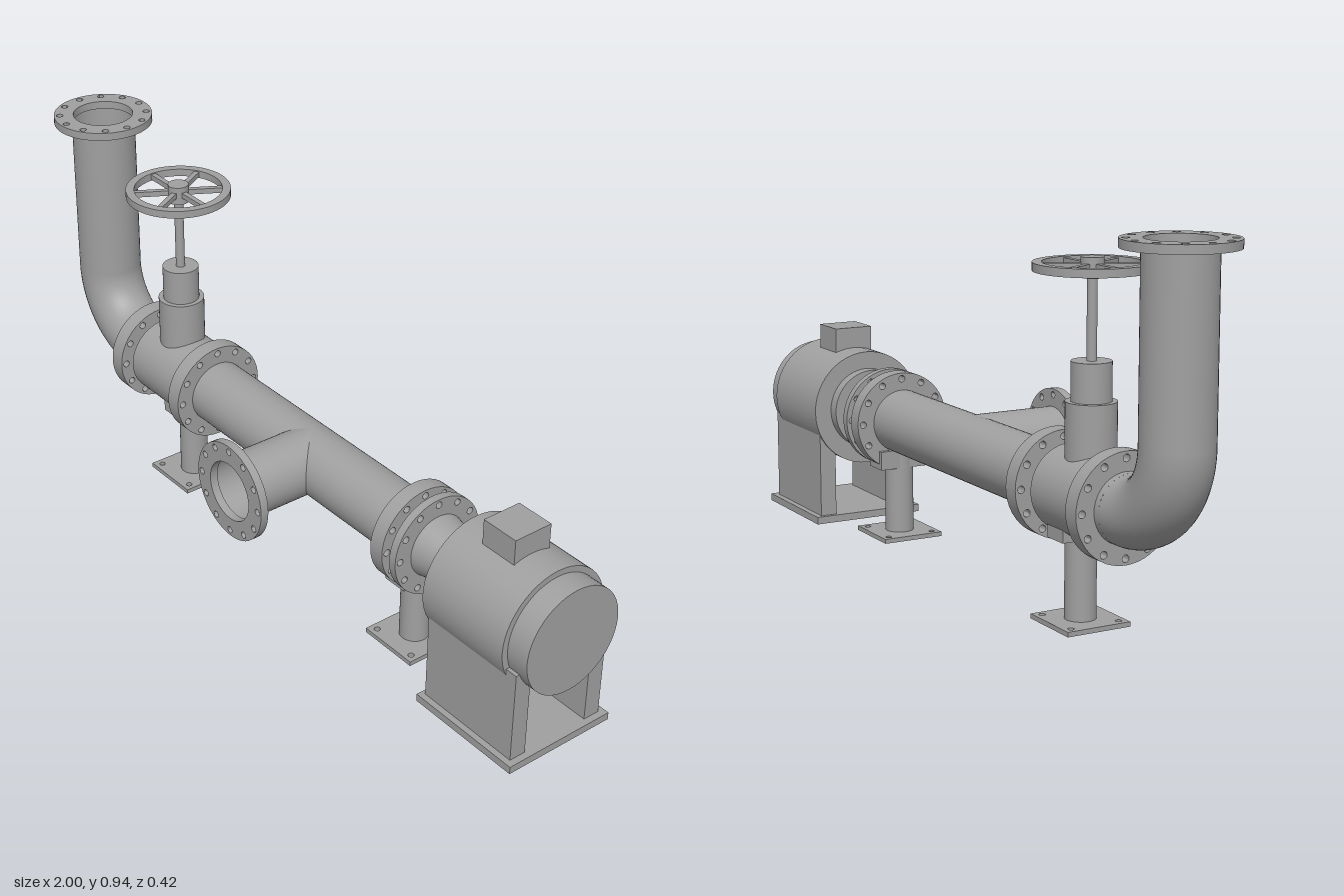
import * as THREE from 'three';
import { toCreasedNormals } from 'three/addons/utils/BufferGeometryUtils.js';

const AXIS_Y = 0.317, AXIS_Z = -0.05, PIPE_R = 0.085, BORE_R = 0.08;

export function createModel() {
  const model = new THREE.Group();
  model.name = 'pumpAndPipework';
  const steel = new THREE.MeshStandardMaterial({ color: 0xa0a0a0, side: THREE.DoubleSide });
  steel.name = 'grey steel';

  function add(name, geometry, x = 0, y = 0, z = AXIS_Z, parent = model) {
    const mesh = new THREE.Mesh(geometry, steel);
    mesh.name = name;
    mesh.position.set(x, y, z);
    parent.add(mesh);
    return mesh;
  }
  const box = (name, w, h, d, x, y, z, parent) => add(name, new THREE.BoxGeometry(w, h, d), x, y, z, parent);

  // Horizontal round section between two x positions
  function along(name, x0, x1, r0, r1 = r0, open = false) {
    const g = new THREE.CylinderGeometry(r1, r0, x1 - x0, 48, 1, open).rotateZ(-Math.PI / 2);
    return add(name, g, (x0 + x1) / 2, AXIS_Y);
  }
  // Upright round section between two heights
  const upright = (name, x, y0, y1, r, open = false, parent = model) =>
    add(name, new THREE.CylinderGeometry(r, r, y1 - y0, 40, 1, open), x, (y0 + y1) / 2, AXIS_Z, parent);

  const circlePath = (x, y, r) => new THREE.Path().absarc(x, y, r, 0, Math.PI * 2, true);
  function extrude(shape, depth, segments) {
    const g = new THREE.ExtrudeGeometry(shape, { depth, bevelEnabled: false, curveSegments: segments });
    return toCreasedNormals(g, Math.PI / 5);
  }

  // Ring with a bore and twelve bolt holes, extruded along +z
  function flangeGeometry(depth) {
    const shape = new THREE.Shape().absarc(0, 0, 0.132, 0, Math.PI * 2, false);
    shape.holes.push(circlePath(0, 0, BORE_R));
    for (let i = 0; i < 12; i++) {
      const a = i * Math.PI / 6;
      shape.holes.push(circlePath(0.116 * Math.cos(a), 0.116 * Math.sin(a), 0.009));
    }
    return extrude(shape, depth, 24);
  }

  // Elbow and riser
  const riserX = -0.867, bend = 0.18, bendX = riserX + bend, bendY = AXIS_Y + bend;
  upright('riserPipe', riserX, bendY, 0.935, PIPE_R, true);
  add('elbow', new THREE.TorusGeometry(bend, PIPE_R, 40, 24, Math.PI / 2).rotateZ(Math.PI), bendX, bendY);
  along('elbowStub', bendX, -0.645, PIPE_R, PIPE_R, true);
  add('riserFlange', flangeGeometry(0.021).rotateX(-Math.PI / 2), riserX, 0.924);

  // Flanges along the main run
  for (const [name, x0, x1] of [
    ['valveInletFlange', -0.669, -0.624], ['valveOutletFlange', -0.4, -0.355],
    ['mainPipeFlange', 0.445, 0.488], ['reducerFlange', 0.515, 0.537],
  ]) add(name, flangeGeometry(x1 - x0).rotateY(Math.PI / 2), x0, AXIS_Y);

  // Main pipe and side branch
  along('mainPipe', -0.38, 0.525, PIPE_R, PIPE_R, true);
  add('branchPipe', new THREE.CylinderGeometry(PIPE_R, PIPE_R, 0.25, 48, 1, true).rotateX(Math.PI / 2), 0.05, AXIS_Y, 0.075);
  add('branchFlange', flangeGeometry(0.022), 0.05, AXIS_Y, 0.188);

  // Gate valve
  const valveX = -0.518;
  along('valveNecks', -0.65, -0.38, PIPE_R, PIPE_R, true);
  along('valveBody', -0.61, -0.424, 0.105);
  upright('valveBonnet', valveX, 0.36, 0.537, 0.061);
  upright('valveGland', valveX, 0.537, 0.63, 0.048);
  upright('valveStem', valveX, 0.62, 0.83, 0.012);

  // Handwheel: flat rim, six spokes and hub
  const wheel = new THREE.Group();
  wheel.name = 'handwheel';
  model.add(wheel);
  const rim = new THREE.Shape().absarc(0, 0, 0.137, 0, Math.PI * 2, false);
  rim.holes.push(circlePath(0, 0, 0.115));
  add('wheelRim', extrude(rim, 0.02, 32).rotateX(-Math.PI / 2), valveX, 0.836, AXIS_Z, wheel);
  upright('wheelHub', valveX, 0.82, 0.868, 0.027, false, wheel);
  for (let i = 0; i < 6; i++) {
    const spoke = new THREE.BoxGeometry(0.1, 0.014, 0.014).translate(0.07, 0, 0).rotateY(i * Math.PI / 3);
    add('wheelSpoke', spoke, valveX, 0.846, AXIS_Z, wheel);
  }

  // Pipe supports: drilled base plate, post and saddle
  function support(x, saddleY0) {
    const group = new THREE.Group();
    group.name = 'pipeSupport';
    model.add(group);
    const h = 0.085;
    const plate = new THREE.Shape().moveTo(-h, -h).lineTo(h, -h).lineTo(h, h).lineTo(-h, h).closePath();
    for (const sx of [-1, 1]) for (const sy of [-1, 1]) plate.holes.push(circlePath(sx * 0.065, sy * 0.065, 0.008));
    add('supportPlate', extrude(plate, 0.012, 8).rotateX(-Math.PI / 2), x, 0, AXIS_Z, group);
    upright('supportPost', x, 0.01, 0.235, 0.038, false, group);
    box('supportSaddle', 0.07, 0.24 - saddleY0, 0.14, x, (0.24 + saddleY0) / 2, AXIS_Z, group);
  }
  support(-0.477, 0.208);
  support(0.467, 0.19);

  // Reducer and motor
  along('reducer', 0.53, 0.64, PIPE_R, 0.062);
  along('motorFrontCollar', 0.632, 0.67, 0.11);
  along('motorBody', 0.665, 0.935, 0.157);
  along('motorRearCover', 0.93, 0.998, 0.141);
  box('terminalBox', 0.105, 0.1, 0.109, 0.798, 0.481, AXIS_Z);

  // Motor stand
  box('motorBasePlate', 0.326, 0.02, 0.315, 0.823, 0.01, AXIS_Z);
  for (const s of [-1, 1]) box('motorSidePlate', 0.296, 0.25, 0.046, 0.82, 0.14, AXIS_Z + s * 0.118);

  return model;
}
